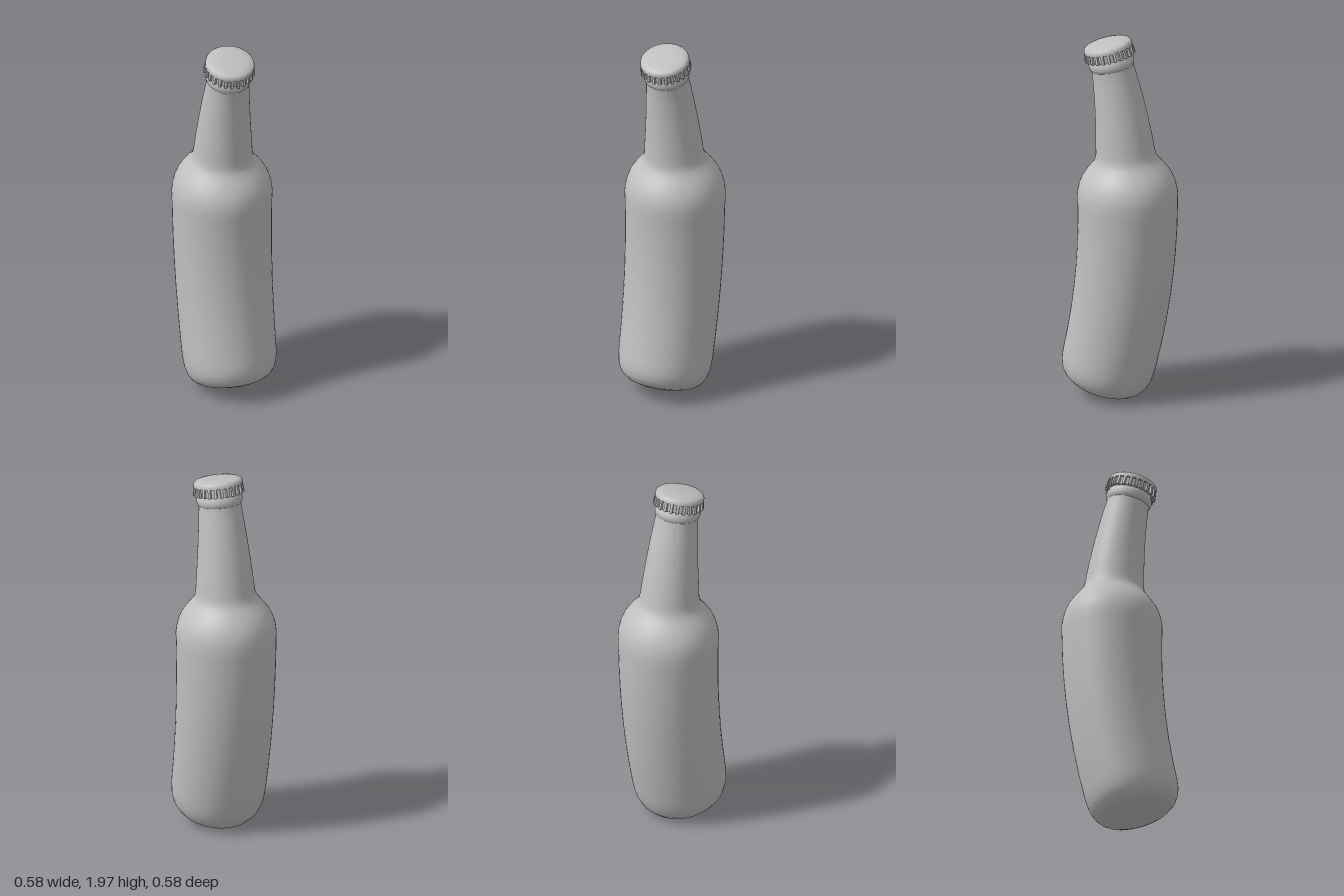
import * as THREE from 'three';
import { mergeGeometries, toCreasedNormals } from 'three/addons/utils/BufferGeometryUtils.js';

const CURVATURE = 0.27; // bend of the bottle's axis
const MIDDLE = 1.018;   // axial height where the axis is vertical
const SIDES = 56;

// Bends an upright geometry along a circular arc towards +x +z
function bend(geometry) {
  const p = geometry.attributes.position;
  const R = 1 / CURVATURE;
  const s = Math.SQRT1_2;
  for (let i = 0; i < p.count; i++) {
    const u = (p.getX(i) + p.getZ(i)) * s;
    const v = (p.getX(i) - p.getZ(i)) * s;
    const angle = (p.getY(i) - MIDDLE) * CURVATURE;
    const d = R - (R - u) * Math.cos(angle) - 0.035;
    p.setXYZ(i, (d + v) * s, 1.05 + (R - u) * Math.sin(angle), (d - v) * s);
  }
  return toCreasedNormals(geometry, 0.6);
}

function lathe(profile) {
  return new THREE.LatheGeometry(profile.map(([r, y]) => new THREE.Vector2(r, y)), SIDES);
}

// Evenly spaced profile points between two [radius, height] ends
function taper(from, to, steps) {
  const points = [];
  for (let i = 0; i <= steps; i++) {
    const t = i / steps;
    points.push([from[0] + (to[0] - from[0]) * t, from[1] + (to[1] - from[1]) * t]);
  }
  return points;
}

export function createModel() {
  const group = new THREE.Group();
  group.name = 'bottle';
  const grey = new THREE.MeshStandardMaterial({ color: 0xc0c0c0 });
  grey.name = 'grey';

  function add(name, geometry) {
    const mesh = new THREE.Mesh(bend(geometry), grey);
    mesh.name = name;
    group.add(mesh);
  }

  // Glass: rounded base, body, shoulder, neck and lip
  add('glass', lathe([
    [0, 0.004], [0.12, 0], [0.155, 0.006], [0.185, 0.018], [0.21, 0.038],
    [0.228, 0.065], [0.239, 0.1], [0.244, 0.14],
    ...taper([0.246, 0.18], [0.261, 1.04], 7),
    [0.262, 1.09], [0.258, 1.125], [0.249, 1.16], [0.234, 1.195], [0.212, 1.228],
    [0.188, 1.258], [0.169, 1.282], [0.159, 1.303], [0.154, 1.33],
    ...taper([0.15, 1.38], [0.111, 1.785], 6),
    [0.111, 1.8], [0.117, 1.808], [0.12, 1.822], [0.119, 1.84], [0.113, 1.852],
    [0.11, 1.875], [0.1, 1.9], [0, 1.9],
  ]));

  // Cap: skirt and slightly domed top
  add('cap', lathe([
    [0.105, 1.86], [0.12, 1.858], [0.12, 1.9], [0.128, 1.902], [0.128, 1.914],
    [0.125, 1.923], [0.117, 1.93], [0.09, 1.936], [0.05, 1.94], [0, 1.94],
  ]));

  // Crimped teeth around the skirt, flaring towards the bottom
  const teeth = [];
  const count = 24;
  for (let i = 0; i < count; i++) {
    const tooth = new THREE.BoxGeometry(0.018, 0.048, 0.016);
    const p = tooth.attributes.position;
    for (let j = 0; j < p.count; j++) {
      if (p.getZ(j) > 0) {
        p.setX(j, p.getX(j) * 0.75);
        if (p.getY(j) < 0) p.setZ(j, p.getZ(j) + 0.006);
      }
    }
    tooth.translate(0, 1.881, 0.12);
    tooth.rotateY((i / count) * Math.PI * 2);
    teeth.push(tooth);
  }
  add('capTeeth', mergeGeometries(teeth));

  // Stand the bottle on y = 0, centred
  const box = new THREE.Box3().setFromObject(group);
  const centre = box.getCenter(new THREE.Vector3());
  for (const mesh of group.children) mesh.geometry.translate(-centre.x, -box.min.y, -centre.z);
  return group;
}
